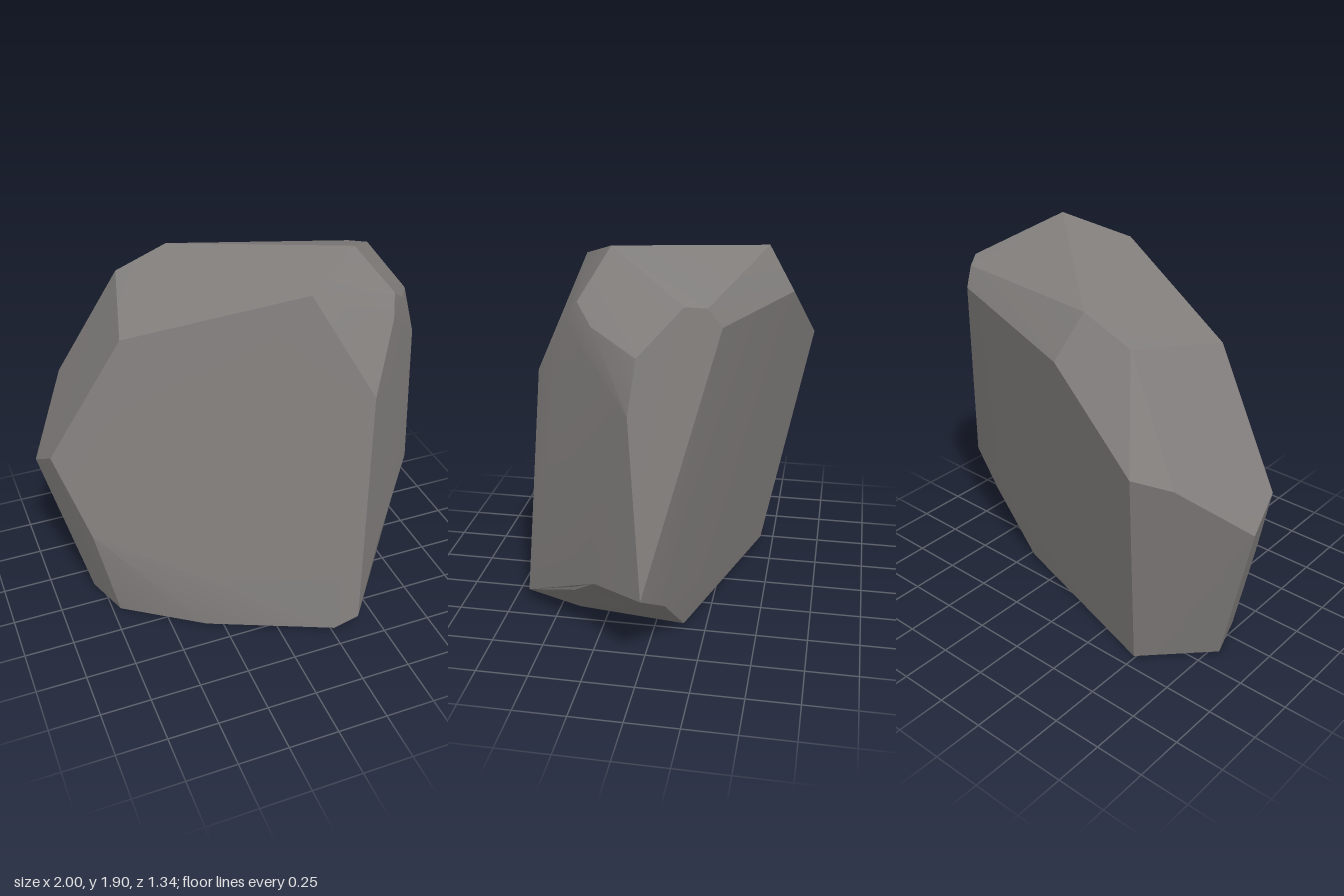
import * as THREE from 'three';
import { ConvexGeometry } from 'three/addons/geometries/ConvexGeometry.js';
import { toCreasedNormals } from 'three/addons/utils/BufferGeometryUtils.js';

const v = (p) => new THREE.Vector3(...p);

export function createModel() {
  const stone = new THREE.MeshStandardMaterial({ color: 0x827f7d });
  stone.name = 'grey stone';

  // corners of the crown
  const crown = [
    [0.49, 1.9, 0.18], [0.2, 1.79, 0.36], [-0.6, 1.56, 0.04],
    [-0.47, 1.66, -0.45], [-0.21, 1.76, -0.45], [-0.15, 1.55, -0.58],
    [0.65, 1.69, 0.3], [0.62, 1.59, 0.365], [0.74, 1.61, 0.22],
    [0.75, 1.72, -0.18], [0.69, 1.7, -0.27], [0.66, 1.61, -0.33],
    [0.88, 1.53, 0],
  ];

  // corners around the sides
  const sides = [
    [0.46, 1.3, 0.54], [0.93, 1.29, 0.03], [1, 0.45, -0.03],
    [0.385, 0.07, 0.67], [-0.82, 0.52, 0.1], [-0.96, 0.95, -0.03],
    [-1, 0.83, -0.22], [-0.78, 1.12, -0.53], [-0.65, 1.19, -0.67],
  ];

  // outline of the foot
  const foot = [
    [0.27, 0, 0.64], [-0.33, 0, 0.37], [-0.71, 0, 0.1], [-0.79, 0, -0.13],
    [-0.49, 0, -0.43], [0.47, 0.01, -0.14], [0.39, 0, 0.4],
  ];

  // chipped lower corner: [corner on the convex block, corner after chipping]
  const chips = [
    [[0.66, 0.225, 0.375], [0.65, 0.26, 0.36]],
    [[0.79, 0.295, 0.225], [0.78, 0.385, 0.23]],
    [[0.785, 0.25, -0.09], [0.78, 0.3, -0.1]],
  ].map((pair) => pair.map(v));

  const block = new ConvexGeometry([
    ...[...crown, ...sides, ...foot].map(v),
    ...chips.map(([before]) => before.clone()),
  ]);

  // push the chipped corners inwards
  const pos = block.attributes.position;
  const p = new THREE.Vector3();
  for (let i = 0; i < pos.count; i++) {
    p.fromBufferAttribute(pos, i);
    for (const [before, after] of chips) {
      if (p.distanceTo(before) < 1e-4) pos.setXYZ(i, after.x, after.y, after.z);
    }
  }

  const rock = new THREE.Mesh(toCreasedNormals(block, 0.3), stone);
  rock.name = 'rock';

  const group = new THREE.Group();
  group.name = 'boulder';
  group.add(rock);
  return group;
}
